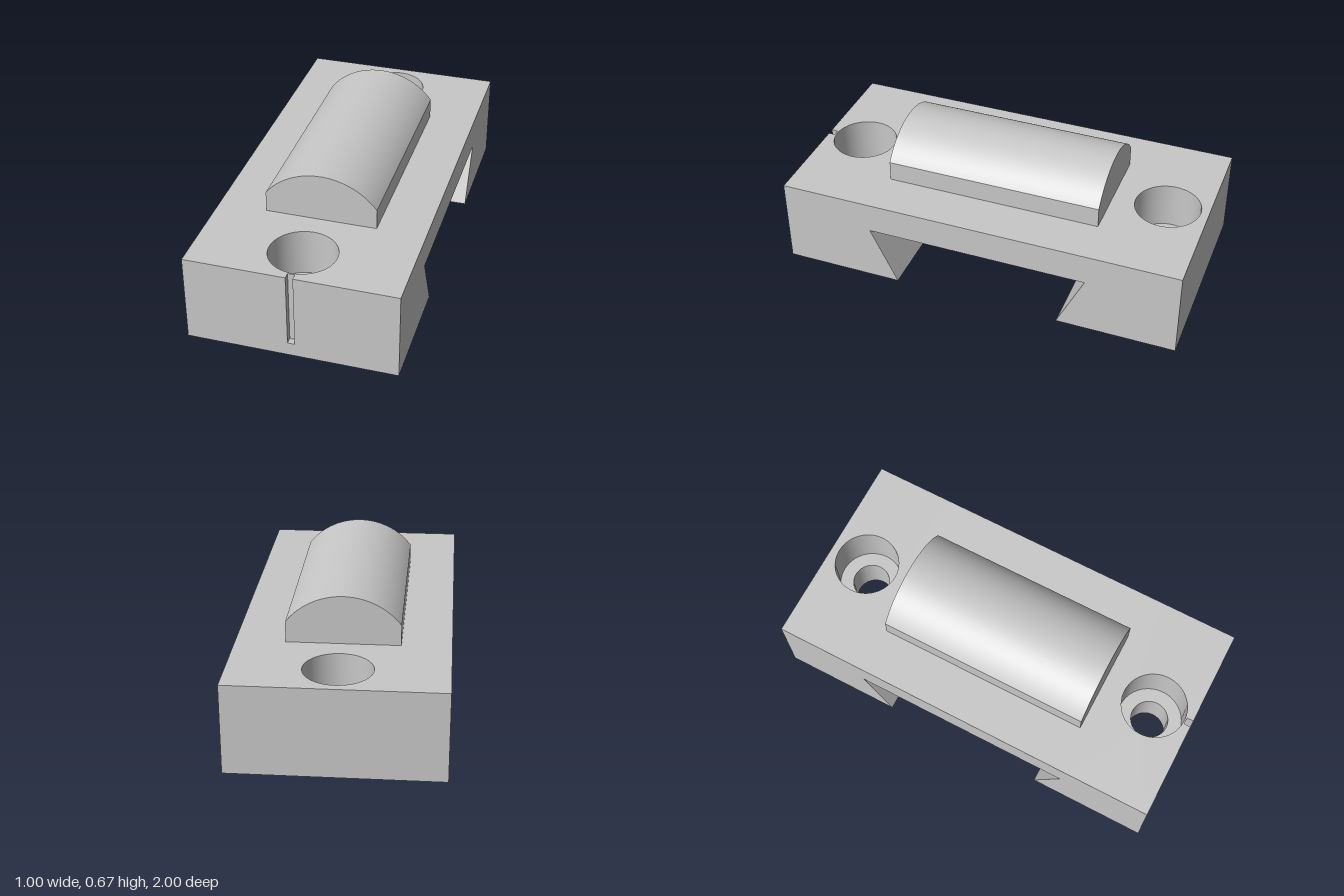
import * as THREE from 'three';
import { toCreasedNormals } from 'three/addons/utils/BufferGeometryUtils.js';

const W = 0.5, L = 1, TOP = 0.433;      // half width, half length, base height
const JOIN = 0.6;                       // where the bridge meets the end blocks
const SLOT_HALF = 0.0167, SLOT_BACK = 0.967, SLOT_FLOOR = 0.067;
const BORE = 0.093, COUNTERBORE = 0.16, BORE_SEAT = 0.2, HOLE_Z = 0.8;

const polygon = (points) => new THREE.Shape(points.map(([x, y]) => new THREE.Vector2(x, y)));

function extrude(shape, depth) {
  const geometry = new THREE.ExtrudeGeometry(shape, { depth, bevelEnabled: false, curveSegments: 48 });
  return toCreasedNormals(geometry, 0.4);
}

// One horizontal layer of an end block, with a screw hole and an optional slot
function endLayer(y0, y1, radius, slotted) {
  const points = [[-W, -L]];
  if (slotted) {
    points.push([-SLOT_HALF, -L], [-SLOT_HALF, -SLOT_BACK], [SLOT_HALF, -SLOT_BACK], [SLOT_HALF, -L]);
  }
  points.push([W, -L], [W, -JOIN], [-W, -JOIN]);
  const shape = polygon(points);
  shape.holes.push(new THREE.Path().absarc(0, -HOLE_Z, radius, 0, Math.PI * 2, true));
  return extrude(shape, y1 - y0).rotateX(-Math.PI / 2).translate(0, y0, 0);
}

function endBlock(name, material, slotted) {
  const block = new THREE.Group();
  block.name = name;
  const layers = [
    ['foot', 0, SLOT_FLOOR, BORE, false],
    ['boreLayer', SLOT_FLOOR, BORE_SEAT, BORE, slotted],
    ['counterboreLayer', BORE_SEAT, TOP, COUNTERBORE, slotted],
  ];
  for (const [layerName, ...args] of layers) {
    const mesh = new THREE.Mesh(endLayer(...args), material);
    mesh.name = layerName;
    block.add(mesh);
  }
  return block;
}

export function createModel() {
  const model = new THREE.Group();
  model.name = 'dovetailClampBlock';
  const grey = new THREE.MeshStandardMaterial({ color: 0xc8c8c8 });
  grey.name = 'grey';

  // Middle of the base with the dovetail channel cut across its underside
  const profile = polygon([
    [-JOIN, 0], [-0.413, 0], [-0.547, 0.28], [0.547, 0.28], [0.413, 0],
    [JOIN, 0], [JOIN, TOP], [-JOIN, TOP],
  ]);
  const bridge = new THREE.Mesh(extrude(profile, 2 * W).rotateY(Math.PI / 2).translate(-W, 0, 0), grey);
  bridge.name = 'dovetailBridge';
  model.add(bridge);

  // Ends with counterbored holes; only the front one carries the index slot
  model.add(endBlock('frontEnd', grey, true));
  const back = endBlock('backEnd', grey, false);
  back.rotation.y = Math.PI;
  model.add(back);

  // Rounded saddle on top: straight sides under a circular arc
  const half = 0.267, radius = 0.3333, centre = 0.3333;
  const angle = Math.acos(half / radius);
  const saddleShape = new THREE.Shape();
  saddleShape.moveTo(-half, TOP);
  saddleShape.lineTo(half, TOP);
  saddleShape.absarc(0, centre, radius, angle, Math.PI - angle, false);
  saddleShape.closePath();
  const saddle = new THREE.Mesh(extrude(saddleShape, 1.066).translate(0, 0, -0.533), grey);
  saddle.name = 'roundedSaddle';
  model.add(saddle);

  return model;
}
